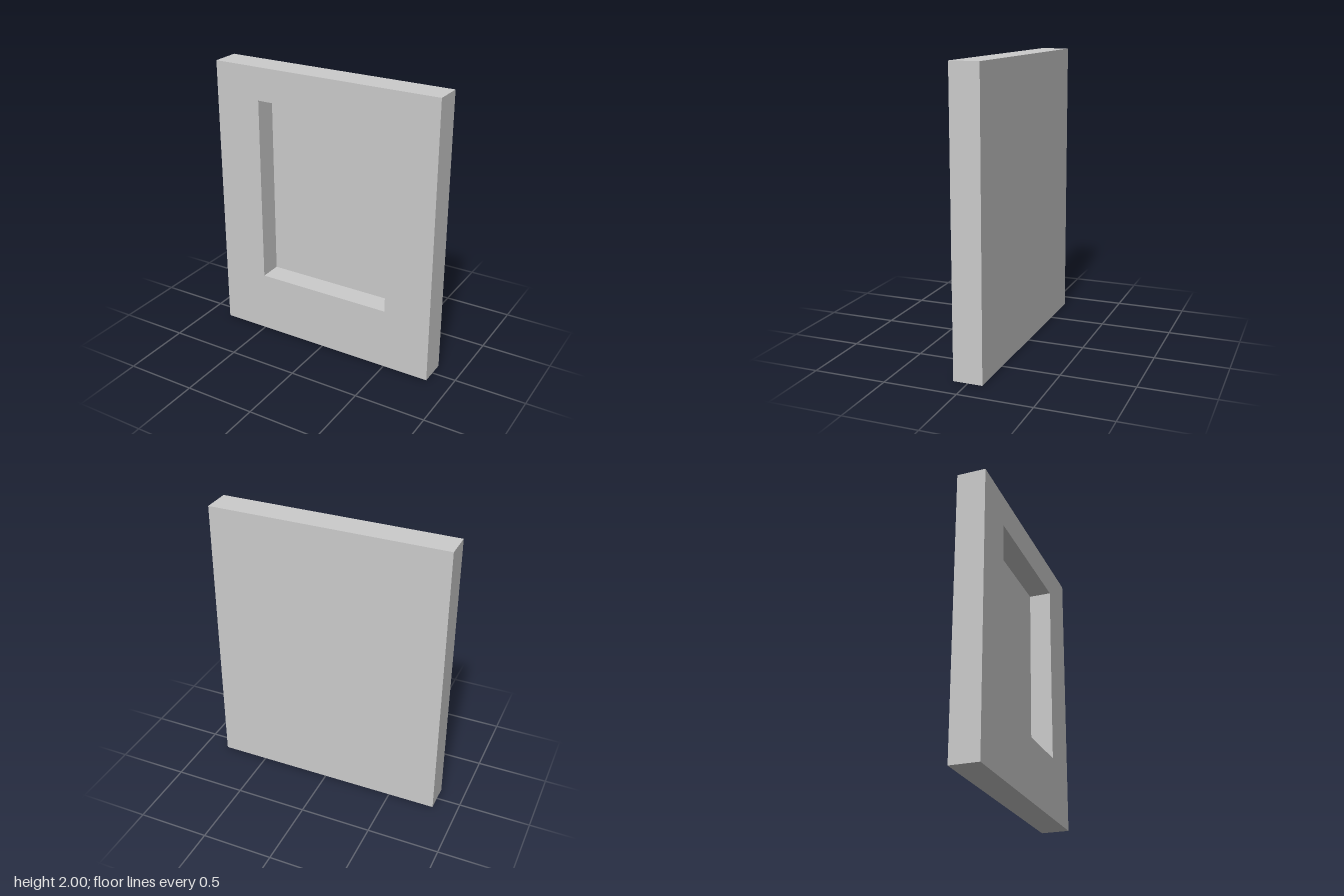
import * as THREE from 'three';

const WIDTH = 1.66, HEIGHT = 2, DEPTH = 0.2;
const RECESS = { x: 0, y: 0.44, w: 0.99, h: 1.33, depth: 0.16 };

const material = new THREE.MeshStandardMaterial({ color: 0xcccccc, flatShading: true });

// Box standing on y, with its front at z = DEPTH / 2 left open; inward turns its faces to the inside
function openBox(name, x, y, w, h, d, inward) {
  const geometry = new THREE.BoxGeometry(w, h, d);
  const index = Array.from(geometry.index.array);
  index.splice(24, 6); // the +z face
  if (inward) index.reverse();
  geometry.setIndex(index);
  geometry.clearGroups();
  geometry.computeVertexNormals();
  geometry.translate(x, y + h / 2, DEPTH / 2 - d / 2);
  const mesh = new THREE.Mesh(geometry, material);
  mesh.name = name;
  return mesh;
}

function rectangle(path, x, y, w, h) {
  path.moveTo(x - w / 2, y);
  path.lineTo(x + w / 2, y);
  path.lineTo(x + w / 2, y + h);
  path.lineTo(x - w / 2, y + h);
  path.closePath();
  return path;
}

export function createModel() {
  const group = new THREE.Group();
  group.name = 'recessedPanel';

  // Outer sides and back of the slab
  group.add(openBox('slabSidesAndBack', 0, 0, WIDTH, HEIGHT, DEPTH, false));

  // Front border around the opening
  const border = rectangle(new THREE.Shape(), 0, 0, WIDTH, HEIGHT);
  border.holes.push(rectangle(new THREE.Path(), RECESS.x, RECESS.y, RECESS.w, RECESS.h));
  const front = new THREE.Mesh(new THREE.ShapeGeometry(border), material);
  front.name = 'frontBorder';
  front.position.z = DEPTH / 2;
  group.add(front);

  // Pocket walls and floor
  group.add(openBox('recess', RECESS.x, RECESS.y, RECESS.w, RECESS.h, RECESS.depth, true));

  return group;
}
